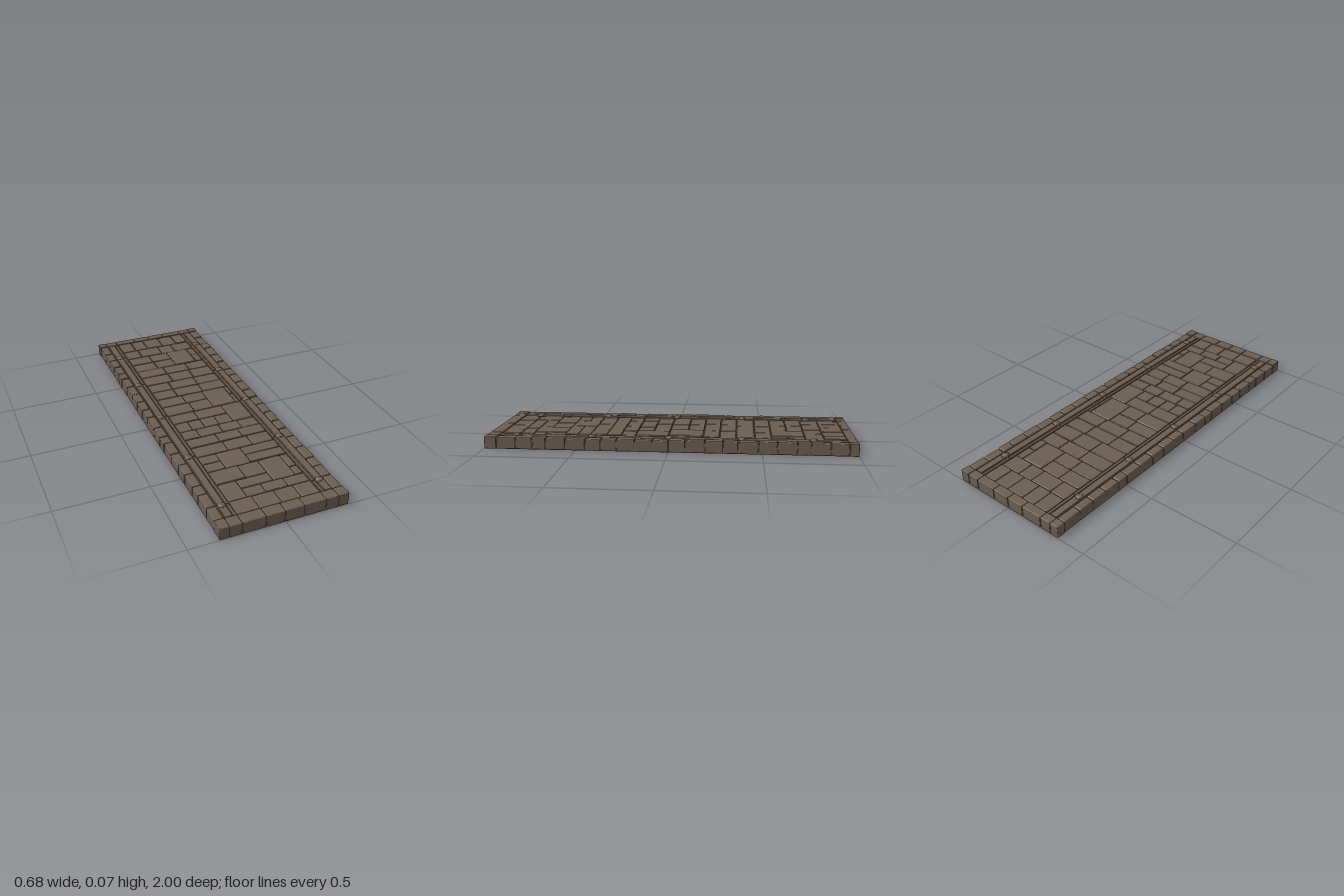
import * as THREE from 'three';
import { RoundedBoxGeometry } from 'three/addons/geometries/RoundedBoxGeometry.js';

export function createModel() {
  const model = new THREE.Group();
  model.name = 'stoneWalkway';
  const stone = new THREE.MeshStandardMaterial({ color: 0x6b5d51 });
  stone.name = 'brown stone';

  let seed = 11;
  const rand = (a, b) => {
    seed = (seed * 16807) % 2147483647;
    return a + (b - a) * (seed / 2147483647);
  };
  const group = (name) => {
    const g = new THREE.Group();
    g.name = name;
    model.add(g);
    return g;
  };

  // Worn block filling x0..x1, y0..y1, z0..z1 less a joint gap
  function block(parent, name, x0, x1, y0, y1, z0, z1, { gap = 0.003, radius = 0.005, tilt = 0 } = {}) {
    const geometry = new RoundedBoxGeometry(x1 - x0 - gap, y1 - y0, z1 - z0 - gap, 2, radius);
    const mesh = new THREE.Mesh(geometry, stone);
    mesh.name = name;
    mesh.position.set((x0 + x1) / 2, (y0 + y1) / 2, (z0 + z1) / 2);
    mesh.rotation.set(rand(-tilt, tilt), rand(-tilt, tilt), rand(-tilt, tilt));
    parent.add(mesh);
  }

  // Solid bed under all the stones
  const bed = new THREE.Mesh(new THREE.BoxGeometry(0.672, 0.054, 1.988), stone);
  bed.name = 'bed';
  bed.position.y = 0.027;
  model.add(bed);

  // End courses, with taller corner stones
  const ends = group('endCourses');
  const endX = [-0.342, -0.29, -0.225, -0.102, -0.002, 0.1, 0.218, 0.287, 0.342];
  for (const [z0, z1] of [[-1, -0.95], [0.932, 1]]) {
    for (let i = 0; i < endX.length - 1; i++) {
      const corner = i === 0 || i === endX.length - 2;
      block(ends, corner ? 'cornerStone' : 'endStone', endX[i], endX[i + 1],
        0, corner ? 0.068 : 0.066, z0, z1, { gap: 0.002, radius: 0.004 });
    }
  }

  // Kerb stones along both long sides
  const kerbs = group('kerbs');
  const kerbCount = 20;
  for (const side of [-1, 1]) {
    let z = -0.95;
    for (let i = 1; i <= kerbCount; i++) {
      const next = i === kerbCount ? 0.932 : -0.95 + i * 0.0941 + rand(-0.015, 0.015);
      const inner = side * 0.29, outer = side * (0.342 - rand(0, 0.003));
      block(kerbs, 'kerbStone', Math.min(inner, outer), Math.max(inner, outer),
        0, rand(0.064, 0.068), z, next, { gap: 0.004 });
      z = next;
    }
  }

  // Double rails inside the kerbs, jointed at the studs
  const rails = group('rails');
  const studs = group('studs');
  const studZ = [-0.77, -0.39, 0.0, 0.42, 0.84];
  const joints = [-0.95, ...studZ, 0.932];
  for (const side of [-1, 1]) {
    for (const [a, b, top] of [[0.244, 0.286, 0.065], [0.223, 0.242, 0.062]]) {
      for (let i = 0; i < joints.length - 1; i++) {
        block(rails, 'rail', Math.min(side * a, side * b), Math.max(side * a, side * b),
          0.03, top, joints[i], joints[i + 1], { gap: 0.003, radius: 0.003 });
      }
    }
    for (const z of studZ) {
      // Low diamond foot below a faceted dome
      const foot = new THREE.Mesh(new THREE.CylinderGeometry(0.024, 0.03, 0.012, 4), stone);
      foot.name = 'studFoot';
      foot.position.set(side * 0.264, 0.061, z);
      const dome = new THREE.Mesh(
        new THREE.SphereGeometry(0.021, 10, 5, 0, Math.PI * 2, 0, Math.PI / 2), stone);
      dome.name = 'studDome';
      dome.scale.y = 0.45;
      dome.position.set(side * 0.264, 0.064, z);
      studs.add(foot, dome);
    }
  }

  // Paving rows, interrupted by larger slabs: [first row, end row, x0, x1]
  const paving = group('paving');
  const rows = [-0.95, -0.83, -0.73, -0.64, -0.55, -0.46, -0.36, -0.27, -0.18, -0.09, 0.01,
    0.1, 0.19, 0.27, 0.35, 0.44, 0.51, 0.58, 0.69, 0.76, 0.83, 0.932];
  const slabs = [
    [2, 4, 0.04, 0.175], [8, 10, 0.06, 0.2], [9, 10, -0.22, -0.06], [10, 12, 0.1, 0.22],
    [14, 15, 0.1, 0.22], [15, 17, -0.12, 0.02], [17, 19, 0.055, 0.18],
    [18, 20, -0.22, -0.12], [20, 21, 0.12, 0.22],
  ];
  for (const [r0, r1, x0, x1] of slabs) {
    block(paving, 'largeSlab', x0, x1, 0.03, 0.064, rows[r0], rows[r1], { gap: 0.004, tilt: 0.005 });
  }
  for (let r = 0; r < rows.length - 1; r++) {
    const inRow = slabs.filter((s) => r >= s[0] && r < s[1]).sort((a, b) => a[2] - b[2]);
    let start = -0.221;
    for (const [, , x0, x1] of [...inRow, [0, 0, 0.221, 0.221]]) {
      const count = Math.max(1, Math.round((x0 - start) / rand(0.09, 0.17)));
      const step = (x0 - start) / count;
      let x = start;
      for (let i = 1; i <= count && step > 0.008; i++) {
        const next = i === count ? x0 : start + step * (i + rand(-0.18, 0.18));
        block(paving, 'paver', x, next, 0.03, rand(0.061, 0.064), rows[r], rows[r + 1],
          { gap: 0.003, radius: 0.004, tilt: 0.008 });
        x = next;
      }
      start = x1;
    }
  }

  return model;
}
